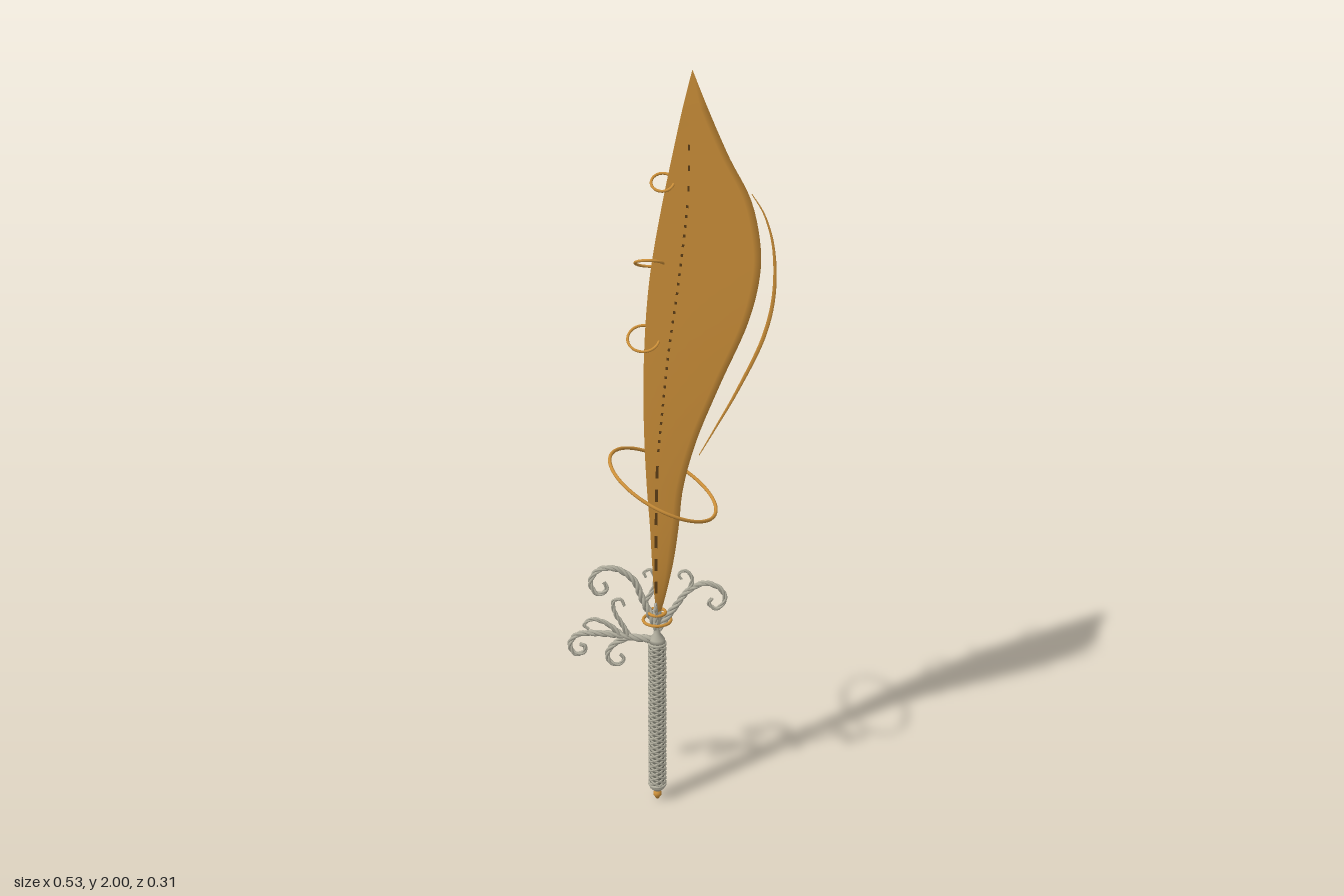
import * as THREE from 'three';

const mat = (name, color) => {
  const m = new THREE.MeshStandardMaterial({ color });
  m.name = name;
  return m;
};
const V = (x, y, z = 0) => new THREE.Vector3(x, y, z);
const curveOf = (pts) => new THREE.CatmullRomCurve3(pts.map((p) => V(...p)));
const HX = -0.028; // axis of the handle

// Tube whose thickness follows taper(t)
function taperedTube(curve, seg, radius, sides, taper) {
  const geo = new THREE.TubeGeometry(curve, seg, radius, sides);
  const pos = geo.attributes.position, v = new THREE.Vector3();
  for (let i = 0; i < pos.count; i++) {
    const t = Math.floor(i / (sides + 1)) / seg;
    const c = curve.getPointAt(t);
    v.fromBufferAttribute(pos, i).sub(c).multiplyScalar(taper(t)).add(c);
    pos.setXYZ(i, v.x, v.y, v.z);
  }
  return geo;
}

// Blade outline: y, left edge, right edge
const ROWS = [
  [0.56, -0.026, -0.02], [0.62, -0.034, -0.005], [0.72, -0.04, 0.015], [0.82, -0.045, 0.028],
  [0.92, -0.052, 0.038], [1.05, -0.058, 0.07], [1.21, -0.06, 0.13], [1.37, -0.054, 0.195],
  [1.475, -0.045, 0.22], [1.555, -0.034, 0.224], [1.68, -0.012, 0.2], [1.79, 0.01, 0.145],
  [1.9, 0.033, 0.097], [2.0, 0.057, 0.057],
];
const outline = curveOf(ROWS.map(([y, l, r]) => [l, y, r]));
const thickness = (y) => (0.013 - 0.009 * (y - 0.56) / 1.44) * Math.min(1, (2 - y) / 0.1);

function bladeGeometry() {
  const n = 70, verts = [], idx = [];
  for (let r = 0; r <= n; r++) {
    const { x: l, y, z: e } = outline.getPoint(r / n);
    const t = thickness(y), i = e - Math.min(0.018, (e - l) * 0.3);
    // front face, sharp edge, back face, then the flat spine
    verts.push(l, y, t, i, y, t * 0.5, e, y, 0, i, y, -t * 0.5, l, y, -t, l, y, -t, l, y, t);
    if (r === n) break;
    for (const k of [0, 1, 2, 3, 5]) {
      const a = r * 7 + k, b = a + 7;
      idx.push(a, a + 1, b + 1, a, b + 1, b);
    }
  }
  const geo = new THREE.BufferGeometry();
  geo.setAttribute('position', new THREE.Float32BufferAttribute(verts, 3));
  geo.setIndex(idx);
  geo.computeVertexNormals();
  return geo;
}

export function createModel() {
  const model = new THREE.Group();
  model.name = 'ornateSword';
  const gold = mat('gold', 0xcd9039);
  const silver = mat('silver', 0xb2af9f);
  const darkSilver = mat('darkSilver', 0x737367);
  const bronze = mat('darkBronze', 0x5c3d16);

  const add = (parent, name, geo, material, x = 0, y = 0, z = 0) => {
    const m = new THREE.Mesh(geo, material);
    m.name = name;
    m.position.set(x, y, z);
    parent.add(m);
    return m;
  };
  const group = (name) => {
    const g = new THREE.Group();
    g.name = name;
    model.add(g);
    return g;
  };

  // Blade
  add(model, 'blade', bladeGeometry(), gold);

  // Thin crescent floating beside the cutting edge
  const crescent = curveOf([[0.078, 1.015], [0.118, 1.09], [0.17, 1.19], [0.235, 1.34], [0.257, 1.45],
    [0.253, 1.57], [0.23, 1.65], [0.2, 1.7]]);
  add(model, 'edgeCrescent', taperedTube(crescent, 60, 0.005, 8,
    (t) => 0.2 + 0.8 * Math.sin(Math.PI * t)), gold).scale.z = 0.3;

  // Inlaid dots and dashes running down both faces
  const inlay = group('bladeInlay');
  const inlayLine = curveOf([[-0.03, 0.62], [-0.029, 0.85], [-0.025, 1.0], [-0.012, 1.15], [0.003, 1.3],
    [0.023, 1.45], [0.04, 1.6], [0.049, 1.7], [0.05, 1.82]]);
  const mark = (t, length, width) => {
    const p = inlayLine.getPointAt(t), d = inlayLine.getTangentAt(t);
    const depth = 2 * thickness(p.y) * 0.95;
    const m = add(inlay, 'inlayMark', new THREE.BoxGeometry(width, length, depth), bronze, p.x, p.y);
    m.rotation.z = -Math.atan2(d.x, d.y);
  };
  for (let i = 0; i < 6; i++) mark(0.02 + i * 0.054, 0.034, 0.007);
  for (let i = 0; i < 27; i++) mark(0.34 + i * 0.0205, 0.007, 0.006);
  for (let i = 0; i < 3; i++) mark(0.91 + i * 0.042, 0.014, 0.005);

  // Rings through the spine: x, y, radius, tilt
  const rings = group('spineRings');
  for (const [x, y, r, tilt] of [[-0.013, 1.725, 0.027, 0.6], [-0.045, 1.52, 0.035, -0.55], [-0.06, 1.325, 0.039, 0.6]]) {
    add(rings, 'spineRing', new THREE.TorusGeometry(r, 0.0035, 8, 40), gold, x, y)
      .rotation.x = Math.PI / 2 + tilt;
  }

  // Large slanted ring around the lower blade
  const halo = add(model, 'largeRing', new THREE.TorusGeometry(0.151, 0.0045, 10, 80).rotateX(Math.PI / 2),
    gold, -0.012, 0.932);
  halo.rotation.z = -0.485;

  // Handle core with a woven wrap of crossing strands
  const handle = group('handle');
  add(handle, 'handleCore', new THREE.CylinderGeometry(0.021, 0.021, 0.43, 24), darkSilver, HX, 0.262);
  for (const dir of [1, -1]) {
    for (let s = 0; s < 5; s++) {
      const pts = [];
      for (let i = 0; i <= 90; i++) {
        const a = dir * (i / 90 * Math.PI * 12) + s * Math.PI * 2 / 5;
        pts.push([HX + Math.cos(a) * 0.021, 0.052 + 0.42 * i / 90, Math.sin(a) * 0.021]);
      }
      add(handle, 'wrapStrand', new THREE.TubeGeometry(curveOf(pts), 150, 0.0033, 5), silver);
    }
  }
  for (const y of [0.048, 0.476]) {
    add(handle, 'handleBand', new THREE.TorusGeometry(0.021, 0.004, 8, 28).rotateX(Math.PI / 2), silver, HX, y);
  }

  // Pommel cap and gold bead
  const lathe = (name, pts, material) => add(model, name,
    new THREE.LatheGeometry(pts.map((p) => new THREE.Vector2(...p)), 24), material, HX);
  lathe('pommelCap', [[0, 0.028], [0.012, 0.03], [0.02, 0.038], [0.022, 0.048], [0, 0.05]], silver);
  lathe('pommelBead', [[0, 0], [0.004, 0.003], [0.007, 0.008], [0.011, 0.014], [0.011, 0.021], [0.006, 0.028], [0, 0.03]], gold);

  // Neck between the handle and blade, with its collars
  lathe('neck', [[0, 0.478], [0.022, 0.478], [0.02, 0.49], [0.009, 0.505], [0.008, 0.53], [0.014, 0.55],
    [0.01, 0.575], [0, 0.6]], silver);
  for (const [y, r] of [[0.545, 0.036], [0.567, 0.022]]) {
    add(model, 'collarRing', new THREE.TorusGeometry(r, 0.004, 8, 36).rotateX(Math.PI / 2), gold, HX, y);
  }

  // Twisted vine scrolls of the guard
  const guard = group('guardScrolls');
  const vine = (name, r, pts) => {
    const curve = curveOf(pts), n = 70;
    const frames = curve.computeFrenetFrames(n);
    const turns = curve.getLength() / 0.07;
    const taper = (t) => 1 - 0.5 * t;
    for (let s = 0; s < 3; s++) {
      const strand = [];
      for (let i = 0; i <= n; i++) {
        const t = i / n, a = Math.PI * 2 * (turns * t + s / 3), o = r * 0.5 * taper(t);
        strand.push(curve.getPointAt(t)
          .addScaledVector(frames.normals[i], Math.cos(a) * o)
          .addScaledVector(frames.binormals[i], Math.sin(a) * o));
      }
      add(guard, name, taperedTube(new THREE.CatmullRomCurve3(strand), n, r * 0.56, 6, taper), silver);
    }
  };
  vine('upperRightScroll', 0.011, [[-0.028, 0.52], [-0.065, 0.603], [-0.09, 0.66], [-0.135, 0.69], [-0.18, 0.683],
    [-0.2, 0.645], [-0.18, 0.614], [-0.157, 0.63], [-0.165, 0.65]]);
  vine('upperLeftScroll', 0.01, [[-0.025, 0.52], [0.02, 0.587], [0.05, 0.63], [0.095, 0.655], [0.135, 0.64],
    [0.147, 0.61], [0.125, 0.582], [0.105, 0.598], [0.115, 0.613]]);
  vine('innerLeftTendril', 0.007, [[0.04, 0.615], [0.06, 0.65], [0.06, 0.675], [0.042, 0.69], [0.028, 0.678], [0.035, 0.665]]);
  vine('innerRightTendril', 0.007, [[-0.06, 0.595], [-0.038, 0.635], [-0.034, 0.67], [-0.047, 0.69], [-0.062, 0.68], [-0.056, 0.667]]);
  vine('sideScroll', 0.011, [[-0.028, 0.487], [-0.08, 0.49], [-0.13, 0.497], [-0.2, 0.5], [-0.238, 0.493],
    [-0.256, 0.465], [-0.243, 0.438], [-0.22, 0.443], [-0.217, 0.462], [-0.23, 0.466]]);
  vine('sideUpperTendril', 0.008, [[-0.1, 0.492], [-0.12, 0.53], [-0.14, 0.57], [-0.14, 0.597], [-0.12, 0.6], [-0.113, 0.582]]);
  vine('sideOuterTendril', 0.008, [[-0.12, 0.497], [-0.165, 0.533], [-0.2, 0.54], [-0.218, 0.522], [-0.205, 0.511]]);
  vine('sideLowerTendril', 0.009, [[-0.1, 0.492], [-0.14, 0.47], [-0.158, 0.44], [-0.15, 0.415], [-0.128, 0.41], [-0.115, 0.428], [-0.125, 0.44]]);
  vine('frontTendril', 0.006, [[HX, 0.52, 0], [HX, 0.57, 0.02], [HX, 0.6, 0.042], [HX, 0.62, 0.055], [HX, 0.608, 0.063], [HX, 0.598, 0.053]]);
  vine('backTendril', 0.006, [[HX, 0.52, 0], [HX, 0.58, -0.012], [HX, 0.62, -0.024], [HX, 0.637, -0.018], [HX, 0.628, -0.008]]);

  return model;
}
